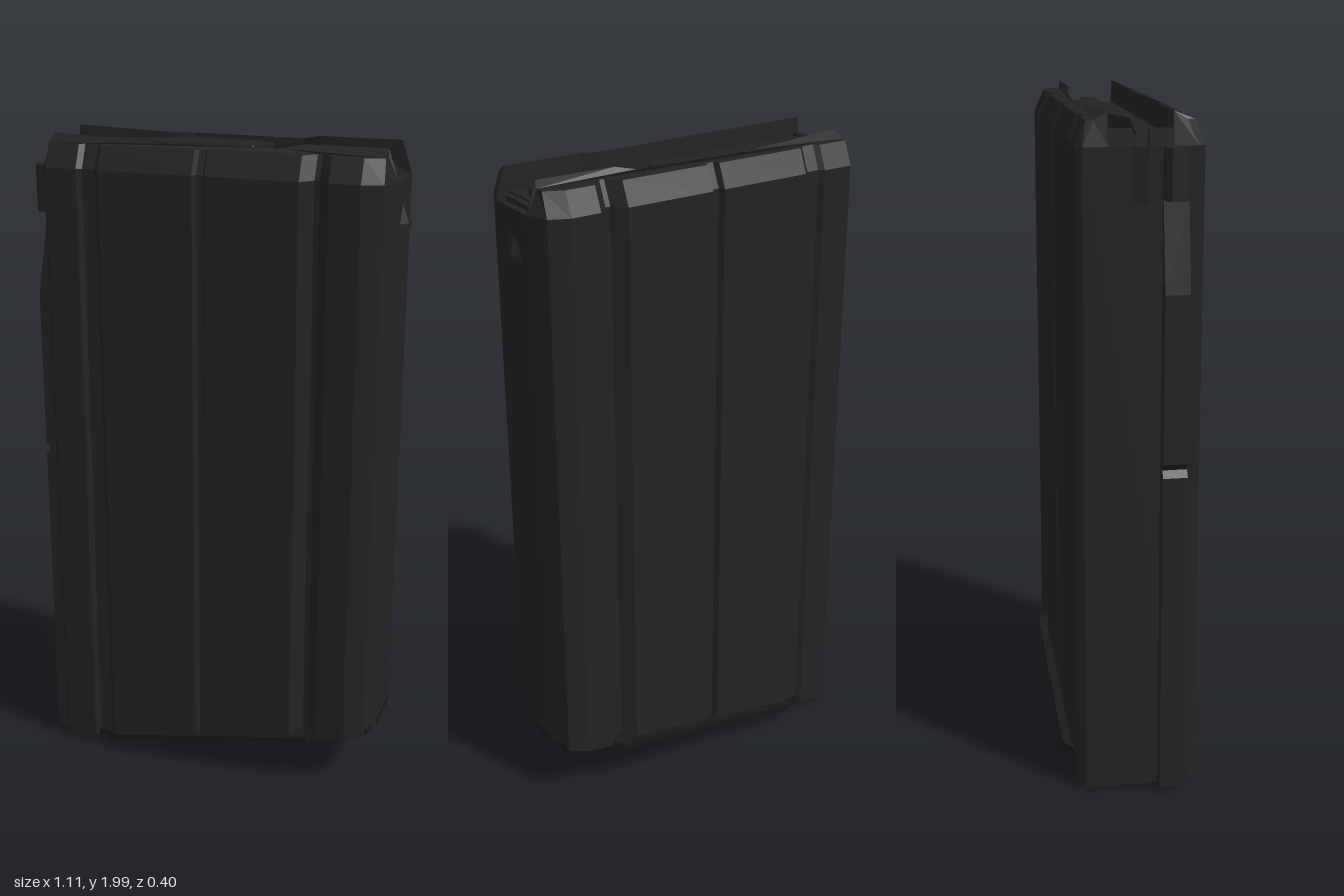
import * as THREE from 'three';

const bodyMat = new THREE.MeshStandardMaterial({ color: 0x222222, flatShading: true });
bodyMat.name = 'dark metal';
const baseMat = new THREE.MeshStandardMaterial({ color: 0x181818, flatShading: true });
baseMat.name = 'black base';

// Slanted underside of the magazine
const floorY = x => 0.2 + 0.18 * (x - 0.53);

// Skin an [x, z] outline through layers; each layer maps a point to [x, y, z]
function loft(outline, layers) {
  let pts = outline;
  const contour = p => p.map(q => new THREE.Vector2(q[0], q[1]));
  if (THREE.ShapeUtils.area(contour(pts)) < 0) pts = [...pts].reverse();
  const n = pts.length, pos = [], idx = [];
  layers.forEach(f => pts.forEach(p => pos.push(...f(p))));
  for (let l = 0; l < layers.length - 1; l++) {
    for (let i = 0; i < n; i++) {
      const a = l * n + i, b = l * n + (i + 1) % n;
      idx.push(a, a + n, b + n, a, b + n, b);
    }
  }
  const top = (layers.length - 1) * n;
  for (const [a, b, c] of THREE.ShapeUtils.triangulateShape(contour(pts), [])) {
    idx.push(a, b, c, top + a, top + c, top + b);
  }
  const g = new THREE.BufferGeometry();
  g.setAttribute('position', new THREE.Float32BufferAttribute(pos, 3));
  g.setIndex(idx);
  const flat = g.toNonIndexed();
  flat.computeVertexNormals();
  return flat;
}

const mirrorLoop = half => [...half, ...half.map(([x, z]) => [x, -z]).reverse()];
const level = y => ([x, z]) => [x, y, z];
const slanted = (offset, s = 1) => ([x, z]) => [x * s, floorY(x * s) + offset, z * s];

function ellipse(cx, rx, rz, n) {
  return Array.from({ length: n }, (_, i) => {
    const a = i / n * Math.PI * 2;
    return [cx + Math.cos(a) * rx, Math.sin(a) * rz];
  });
}

export function createModel() {
  const group = new THREE.Group();
  const add = (name, geometry, material = bodyMat) => {
    const m = new THREE.Mesh(geometry, material);
    m.name = name;
    group.add(m);
    return m;
  };
  const box = (name, x0, x1, y0, y1, z0, z1, mat) =>
    add(name, new THREE.BoxGeometry(x1 - x0, y1 - y0, z1 - z0), mat)
      .position.set((x0 + x1) / 2, (y0 + y1) / 2, (z0 + z1) / 2);

  // Side profile with the three vertical grooves
  const side = [
    [-0.51, 0.155], [-0.495, 0.175], [-0.4, 0.175], [-0.385, 0.162], [-0.345, 0.162],
    [-0.33, 0.175], [-0.045, 0.175], [-0.035, 0.158], [-0.015, 0.158], [-0.005, 0.175],
    [0.27, 0.175], [0.305, 0.138], [0.32, 0.138], [0.355, 0.175], [0.445, 0.175],
    [0.505, 0.15], [0.53, 0.09],
  ];
  add('body', loft(mirrorLoop(side), [slanted(0), level(1.91)]));

  // Feed lips, bevelled outside and waisted inside
  const inner = [
    [0.53, 0.085], [0.26, 0.088], [0.2, 0.105], [-0.14, 0.122], [-0.19, 0.107], [-0.51, 0.088],
  ];
  for (const s of [1, -1]) {
    const outline = [...side.map(([x, z]) => [x, z * s, 1]), ...inner.map(([x, z]) => [x, z * s, 0])];
    const lipTop = ([x, z, outer]) => [
      THREE.MathUtils.clamp(x, -0.5, 0.5),
      outer ? 1.978 : Math.abs(z) > 0.1 ? 1.988 : 2,
      outer && Math.abs(z) > 0.1 ? z - 0.03 * s : z,
    ];
    add(s > 0 ? 'frontFeedLip' : 'backFeedLip', loft(outline, [level(1.91), lipTop]));
  }

  // Follower with its offset guide ridge
  box('follower', -0.43, 0.49, 1.9, 1.93, -0.085, 0.085);
  const ridge = [[-0.43, 0.008], [-0.33, -0.02], [-0.19, -0.09], [-0.15, -0.115], [0.08, -0.105],
    [0.12, -0.08], [0.12, -0.04], [0.075, 0.008]];
  add('followerRidge', loft(ridge, [
    level(1.92),
    ([x, z]) => [x, 1.975, z > -0.05 && x < 0.1 ? z - 0.025 : z],
  ]));
  box('followerStud', 0.41, 0.465, 1.92, 1.95, -0.02, 0.02);

  // End walls, the rear one split by a slot
  box('frontWall', 0.49, 0.51, 1.9, 1.925, -0.07, 0.07);
  for (const s of [1, -1]) box('rearWall', -0.509, -0.485, 1.9, 1.955, s * 0.055 - 0.033, s * 0.055 + 0.033);
  box('rearSlot', -0.513, -0.508, 1.76, 1.91, -0.02, 0.02, baseMat);

  // Wedge-shaped stop on the front end
  const stop = ([x, z]) => [x, 1.77, z];
  add('frontStop', loft([[0.52, 0.045], [0.53, 0.045], [0.55, 0.018], [0.55, -0.018], [0.53, -0.045], [0.52, -0.045]],
    [stop, ([x, z]) => [x, 1.785, z], ([x, z]) => [Math.min(x, 0.531), 1.84, z * 0.4]]));

  // Rear spine with a nick half way and a tapered head
  const spine = new THREE.Shape([
    [-0.505, 0.02], [-0.505, 1.78], [-0.515, 1.78], [-0.555, 1.52], [-0.555, 1.04],
    [-0.54, 1.02], [-0.555, 1.0], [-0.555, 0.02],
  ].map(p => new THREE.Vector2(...p)));
  add('rearSpine', new THREE.ExtrudeGeometry(spine, { depth: 0.07, bevelEnabled: false })).position.z = 0.06;
  add('rearCatch', loft([[-0.5, 0.06], [-0.54, 0.06], [-0.555, 0.075], [-0.555, 0.115], [-0.54, 0.13], [-0.5, 0.13]],
    [level(1.77), level(1.91)]));

  // Slanted floor plate: side flanges, stepped plate, embossed oval and button
  const flange = [[-0.5, 0.15], [-0.485, 0.165], [-0.36, 0.165], [-0.32, 0.202], [0.335, 0.202],
    [0.365, 0.17], [0.445, 0.17], [0.51, 0.145], [0.53, 0.085]];
  add('floorFlange', loft(mirrorLoop(flange), [slanted(-0.003), slanted(0.018)]), baseMat);
  const plate = [[-0.4, 0.11], [-0.35, 0.155], [0.34, 0.155], [0.43, 0.09]];
  add('floorPlate', loft(mirrorLoop(plate), [slanted(-0.026, 0.98), slanted(0)]), baseMat);
  add('floorOval', loft(ellipse(0.05, 0.33, 0.08, 20), [slanted(-0.032), slanted(-0.02)]), baseMat);
  add('floorButton', loft(ellipse(-0.325, 0.035, 0.035, 12), [slanted(-0.032), slanted(-0.02)]), baseMat);

  return group;
}
